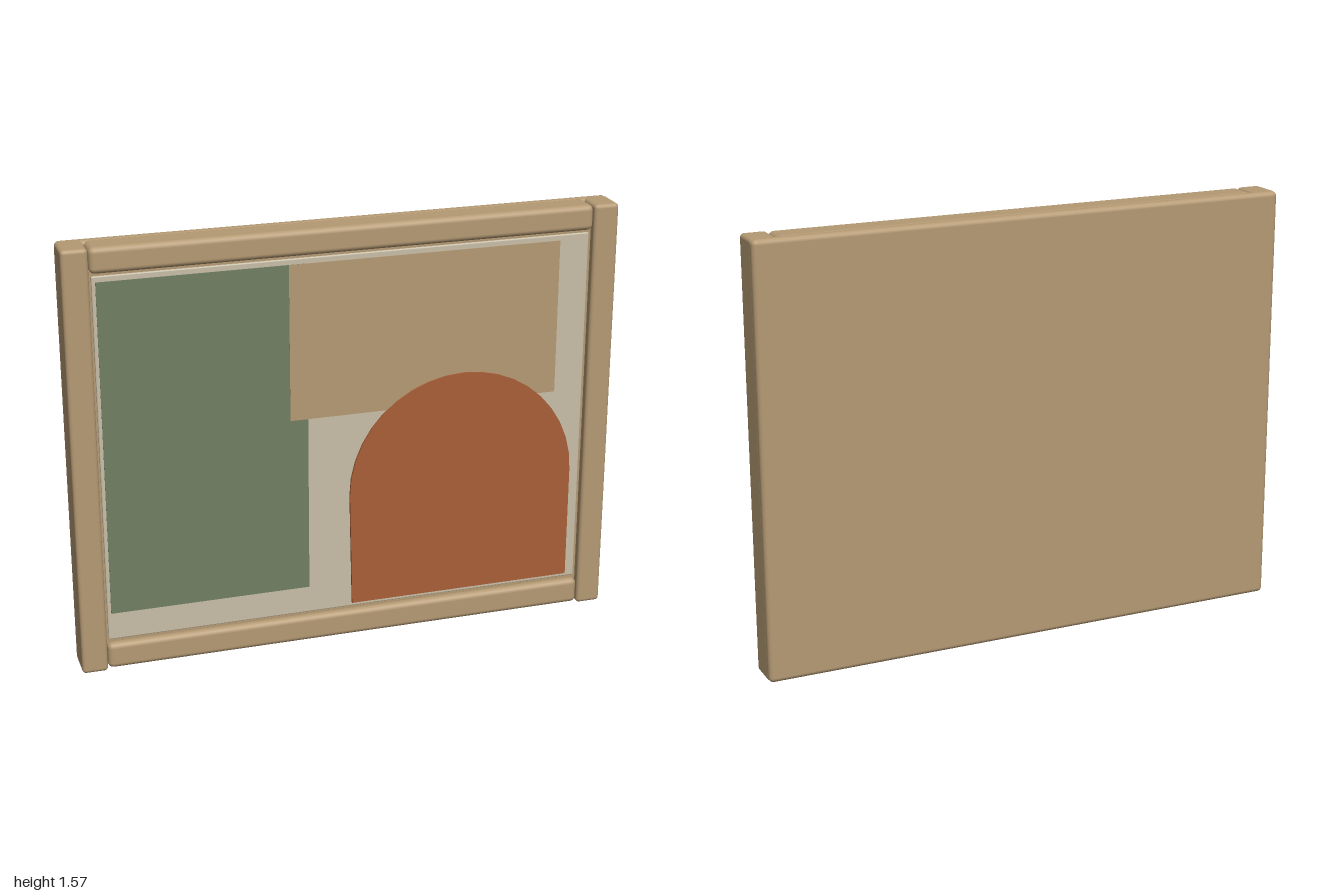
import * as THREE from 'three';
import { RoundedBoxGeometry } from 'three/addons/geometries/RoundedBoxGeometry.js';

const WIDTH = 2, HEIGHT = 1.57;

function material(name, color) {
  const m = new THREE.MeshStandardMaterial({ color });
  m.name = name;
  return m;
}

export function createModel() {
  const wood = material('wood', 0xb59a74);
  const cream = material('cream', 0xc8bfa8);
  const green = material('sageGreen', 0x707f61);
  const rust = material('terracotta', 0xa85f37);

  const group = new THREE.Group();
  group.name = 'framedPicture';

  function add(name, geometry, mat, x = 0, y = 0, z = 0) {
    const mesh = new THREE.Mesh(geometry, mat);
    mesh.name = name;
    mesh.position.set(x, y, z);
    group.add(mesh);
    return mesh;
  }

  // Rounded block given by its extents
  function block(name, mat, x0, x1, y0, y1, z0, z1, radius) {
    const geometry = new RoundedBoxGeometry(x1 - x0, y1 - y0, z1 - z0, 3, radius);
    return add(name, geometry, mat, (x0 + x1) / 2, (y0 + y1) / 2, (z0 + z1) / 2);
  }

  // Thin painted shape lying on the canvas
  function plate(name, mat, x0, x1, y0, y1, z) {
    const geometry = new THREE.BoxGeometry(x1 - x0, y1 - y0, 0.004);
    return add(name, geometry, mat, (x0 + x1) / 2, (y0 + y1) / 2, z);
  }

  // Backing board
  block('backing', wood, -WIDTH / 2, WIDTH / 2, 0, HEIGHT, -0.07, -0.025, 0.018);

  // Side stiles
  for (const [name, side] of [['leftStile', 1], ['rightStile', -1]]) {
    const a = side * 0.907, b = side * WIDTH / 2;
    block(name, wood, Math.min(a, b), Math.max(a, b), 0, HEIGHT, -0.05, 0.07, 0.014);
  }

  // Top and bottom rails between the stiles
  block('bottomRail', wood, -0.905, 0.905, 0.005, 0.102, -0.045, 0.068, 0.02);
  block('topRail', wood, -0.905, 0.905, 1.478, 1.57, -0.045, 0.068, 0.02);

  // Canvas and the wooden lip around it
  block('canvasLip', wood, -0.907, 0.907, 0.09, 1.49, -0.04, 0.042, 0.005);
  block('canvas', cream, -0.898, 0.895, 0.115, 1.467, -0.03, 0.05, 0.004);

  // Painted rectangles
  plate('greenPanel', green, -0.885, -0.152, 0.217, 1.447, 0.05);
  plate('tanPanel', wood, -0.217, 0.785, 0.875, 1.447, 0.051);

  // Painted arch
  const arch = new THREE.Shape();
  const cx = 0.429, cy = 0.56, radius = 0.428;
  arch.moveTo(0.01, 0.13);
  arch.lineTo(0.857, 0.13);
  const steps = 20;
  for (let i = 0; i <= steps; i++) {
    const a = (Math.PI * i) / steps;
    arch.lineTo(cx + radius * Math.cos(a), cy + radius * Math.sin(a));
  }
  arch.closePath();
  add('arch', new THREE.ExtrudeGeometry(arch, { depth: 0.009, bevelEnabled: false }), rust, 0, 0, 0.05);

  return group;
}
